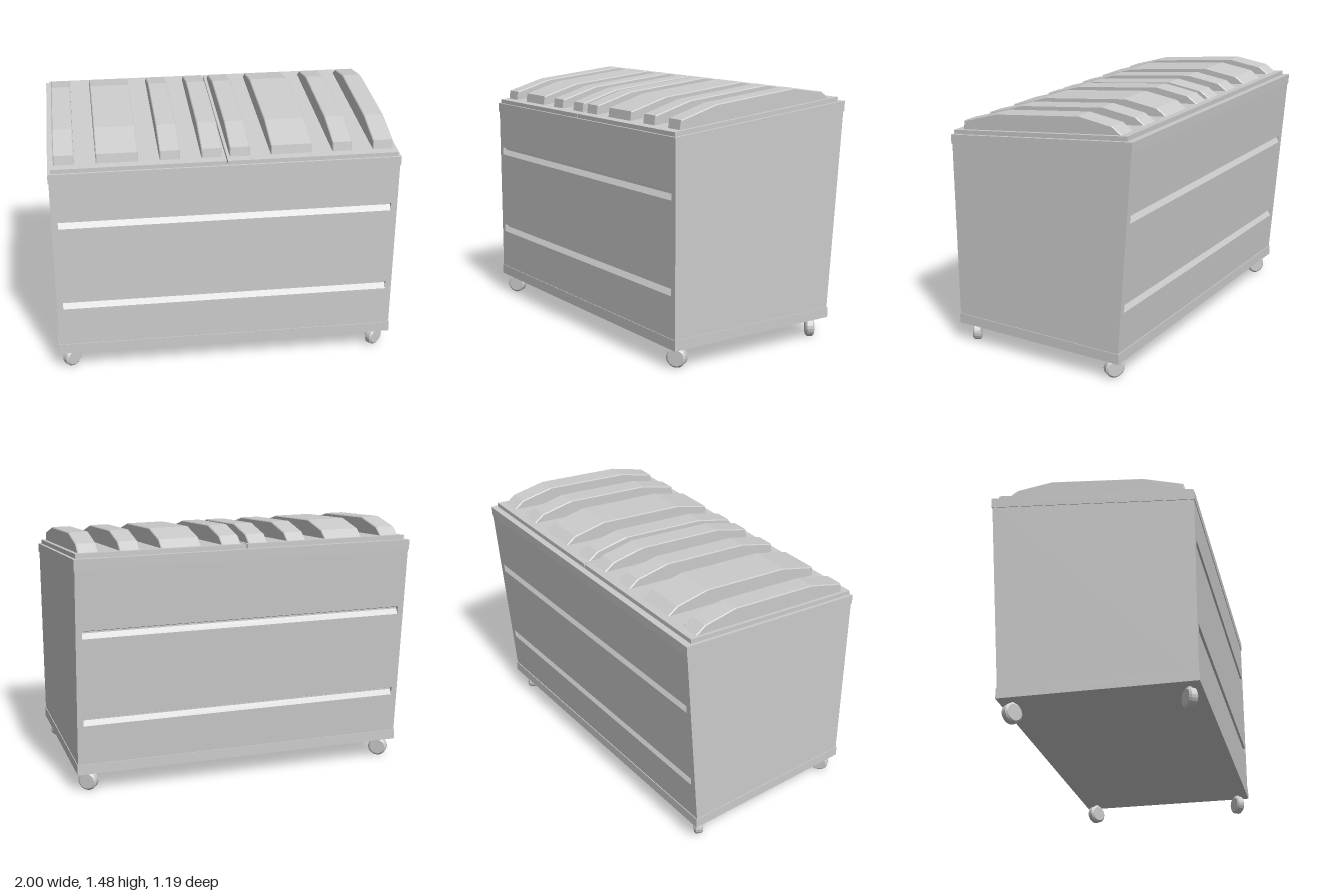
import * as THREE from 'three';

const material = new THREE.MeshStandardMaterial({ color: 0xcccccc, flatShading: true });

function addMesh(parent, name, geometry) {
  const mesh = new THREE.Mesh(geometry, material);
  mesh.name = name;
  parent.add(mesh);
  return mesh;
}

// Extrude a side profile of [z, y] points across the width from x0 to x1.
function across(profile, x0, x1, bevel = 0) {
  const shape = new THREE.Shape(profile.map(([z, y]) => new THREE.Vector2(z, y)));
  const geometry = new THREE.ExtrudeGeometry(shape, {
    depth: x1 - x0 - 2 * bevel,
    bevelEnabled: bevel > 0,
    bevelSize: bevel,
    bevelThickness: bevel,
    bevelOffset: -bevel,
    bevelSegments: 1,
  });
  geometry.rotateY(-Math.PI / 2);
  geometry.translate(x1 - bevel, 0, 0);
  return geometry;
}

// The front wall is upright, the back wall leans outward.
const FRONT = 0.593;
const backAt = (y) => -0.503 - (0.087 * (y - 0.18)) / 1.155;
const GROOVES = [0.985, 0.465];

// One groove cut into a wall, listed from top to bottom.
const groove = (top, wall, inward) => [
  [wall(top), top],
  [wall(top) + inward * 0.022, top - 0.008],
  [wall(top) + inward * 0.022, top - 0.018],
  [wall(top - 0.048), top - 0.048],
];

function bodyProfile(grooved) {
  const front = grooved ? GROOVES.flatMap((y) => groove(y, () => FRONT, -1)) : [];
  const back = grooved ? GROOVES.flatMap((y) => groove(y, backAt, 1)).reverse() : [];
  return [
    [FRONT, 1.25], ...front, [FRONT, 0.13],
    [backAt(0.13), 0.13], ...back, [backAt(1.36), 1.36],
  ];
}

function createBody() {
  const body = new THREE.Group();
  body.name = 'body';
  addMesh(body, 'groovedWalls', across(bodyProfile(true), -0.96, 0.96));
  addMesh(body, 'leftWall', across(bodyProfile(false), 0.96, 0.996));
  addMesh(body, 'rightWall', across(bodyProfile(false), -0.996, -0.96));
  addMesh(body, 'bottomRail', across(
    [[0.597, 0.12], [0.597, 0.18], [-0.508, 0.18], [-0.508, 0.12]], -1, 1));
  addMesh(body, 'topRim', across(
    [[0.597, 1.22], [0.597, 1.275], [-0.555, 1.39], [-0.597, 1.393], [-0.594, 1.333]], -1, 1));
  return body;
}

// Sloping lid with four raised ribs; x is its inner edge.
function createLid(name, x) {
  const lid = new THREE.Group();
  lid.name = name;
  addMesh(lid, 'lidPanel', across(
    [[0.587, 1.27], [0.587, 1.3], [-0.557, 1.416], [-0.557, 1.385]], 0.003, 0.982));
  const ribProfile = [
    [0.54, 1.29], [0.53, 1.357], [0.3, 1.425],
    [-0.245, 1.482], [-0.45, 1.452], [-0.515, 1.408], [-0.515, 1.395],
  ];
  for (const [x0, x1] of [[0.02, 0.135], [0.255, 0.49], [0.61, 0.725], [0.845, 0.96]]) {
    addMesh(lid, 'lidRib', across(ribProfile, x0, x1, 0.005));
  }
  lid.position.x = x;
  return lid;
}

// Swivelled wheel with chamfered edges and a short stem.
function createCaster(name, x, z, angle) {
  const caster = new THREE.Group();
  caster.name = name;
  const points = [[0, -0.026], [0.046, -0.026], [0.057, -0.016], [0.057, 0.016], [0.046, 0.026], [0, 0.026]]
    .map(([r, h]) => new THREE.Vector2(r, h));
  const wheel = new THREE.LatheGeometry(points, 20);
  wheel.rotateX(Math.PI / 2);
  wheel.rotateY(angle);
  wheel.translate(0, 0.057, 0);
  addMesh(caster, 'wheel', wheel);
  const stem = new THREE.CylinderGeometry(0.012, 0.012, 0.04, 10);
  stem.translate(0, 0.11, 0);
  addMesh(caster, 'stem', stem);
  caster.position.set(x, 0, z);
  return caster;
}

export function createModel() {
  const model = new THREE.Group();
  model.name = 'wasteContainer';
  model.add(createBody());
  model.add(createLid('leftLid', 0));
  model.add(createLid('rightLid', -0.985));

  // Front and back wheels are swivelled opposite ways.
  const swivel = THREE.MathUtils.degToRad(36);
  for (const [side, x] of [['Left', 0.925], ['Right', -0.925]]) {
    model.add(createCaster(`front${side}Caster`, x, 0.53, swivel));
    model.add(createCaster(`back${side}Caster`, x, -0.435, -swivel));
  }
  return model;
}
